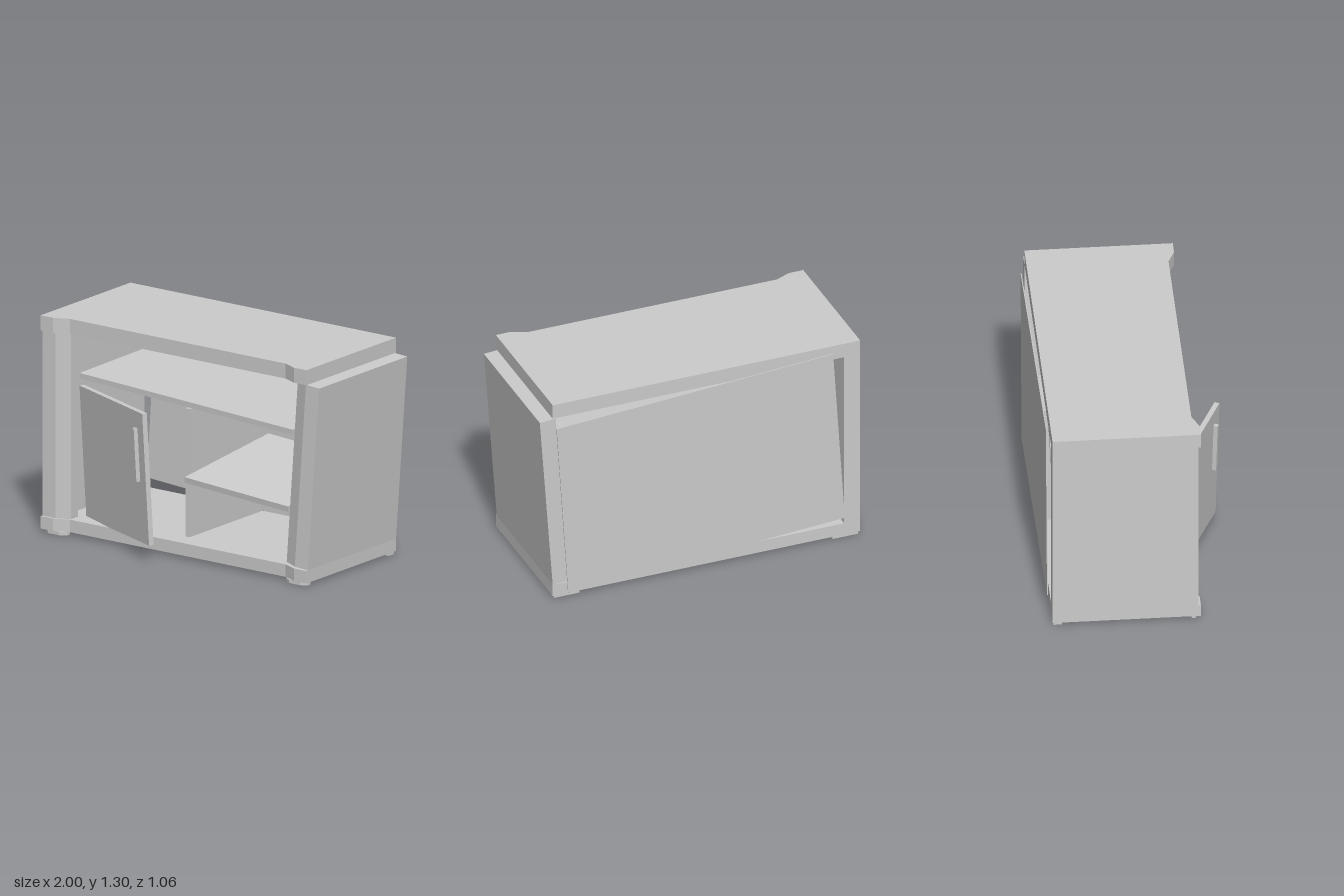
import * as THREE from 'three';

const material = new THREE.MeshStandardMaterial({ color: 0xcccccc, flatShading: true });

function add(parent, name, geometry, position = [0, 0, 0], rotation = [0, 0, 0]) {
  const mesh = new THREE.Mesh(geometry, material);
  mesh.name = name;
  mesh.position.set(...position);
  mesh.rotation.set(...rotation);
  parent.add(mesh);
  return mesh;
}

const box = (w, h, d) => new THREE.BoxGeometry(w, h, d);

// Upright prism from a floor plan of [x, z] corners
function prism(plan, height) {
  const shape = new THREE.Shape(plan.map(([x, z]) => new THREE.Vector2(x, -z)));
  const geometry = new THREE.ExtrudeGeometry(shape, { depth: height, bevelEnabled: false });
  return geometry.rotateX(-Math.PI / 2);
}

const mirror = (plan) => plan.map(([x, z]) => [-x, z]).reverse();

export function createModel() {
  const model = new THREE.Group();
  model.name = 'cabinet';
  const midX = -0.04;

  // Top and base slabs, with the front corners stepping forward
  const half = [[0, -0.51], [0.96, -0.51], [0.96, 0.35], [0.87, 0.35], [0.78, 0.31]];
  const slabPlan = [...half.slice(1), ...mirror(half.slice(1))];
  add(model, 'topSlab', prism(slabPlan, 0.09), [midX, 1.21, 0]);
  add(model, 'baseSlab', prism(slabPlan, 0.075), [midX, 0.02, 0]);

  // Side panels with a thick front post; plan measured inward from the outer face
  const sidePlan = [[0, -0.51], [0.1, -0.51], [0.1, 0.23], [0.18, 0.23],
    [0.18, 0.3], [0.095, 0.335], [0, 0.335]];
  add(model, 'rightSidePanel', prism(sidePlan, 1.115), [-1, 0.095, 0]);
  // The left panel leans outward
  add(model, 'leftSidePanel', prism(mirror(sidePlan), 1.108), [0.92, 0.095, 0], [0, 0, -0.073]);

  // Feet
  const frontFoot = [[-0.08, -0.025], [0.08, -0.025], [0.08, 0], [0.04, 0.025], [-0.04, 0.025], [-0.08, 0]];
  for (const side of [-1, 1]) {
    const x = midX + side * 0.87;
    add(model, 'frontFoot', prism(frontFoot, 0.02), [x, 0, 0.32]);
    add(model, 'backFoot', box(0.16, 0.02, 0.048), [x, 0.01, -0.478]);
  }

  // Loose back board
  add(model, 'backBoard', box(1.73, 1.118, 0.006), [0.005, 0.647, -0.53], [0, 0, -0.065]);

  // Inner boards
  add(model, 'divider', box(0.03, 0.77, 0.69), [-0.06, 0.48, -0.155]);
  add(model, 'upperShelf', box(1.6, 0.033, 0.7), [-0.015, 0.921, -0.11], [0.036, -0.05, -0.028]);
  add(model, 'lowerShelf', box(0.77, 0.035, 0.77), [0.365, 0.483, -0.118], [0.123, -0.04, -0.045]);

  // Open, sagging door with its handle
  const door = new THREE.Group();
  door.name = 'door';
  door.position.set(-0.455, 0.493, 0.346);
  door.rotation.set(0.045, -0.433, 0.049);
  add(door, 'doorPanel', box(0.77, 0.79, 0.03));
  add(door, 'doorHandle', box(0.022, 0.32, 0.025), [0.305, 0.135, 0.0275]);
  model.add(door);

  return model;
}
